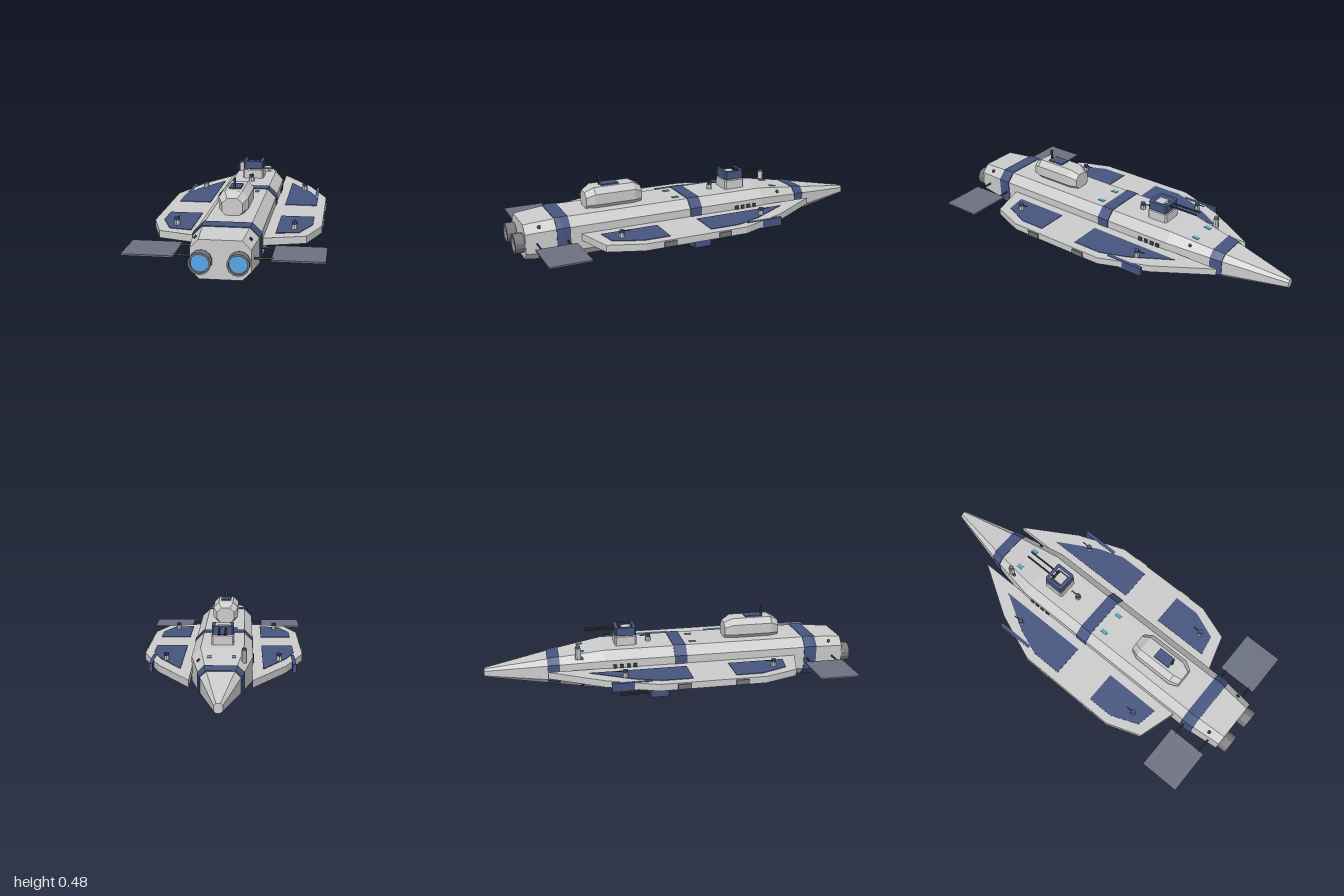
import * as THREE from 'three';

const mat = (color) => new THREE.MeshStandardMaterial({ color, flatShading: true });
const GREY = mat(0xcccccc), BLUE = mat(0x465580), DARK = mat(0x3a3c42), METAL = mat(0x77777a);
const SOLAR = mat(0x6c7180), GLOW = mat(0x55a5e6), GLASS = mat(0x5fa3bd);

export function createModel() {
  const root = new THREE.Group();

  function add(name, geo, material, x = 0, y = 0, z = 0, parent = root) {
    const m = new THREE.Mesh(geo, material);
    m.name = name;
    m.position.set(x, y, z);
    parent.add(m);
    return m;
  }
  const box = (name, w, h, d, material, x, y, z, parent) =>
    add(name, new THREE.BoxGeometry(w, h, d), material, x, y, z, parent);
  const cyl = (name, r, h, n, material, x, y, z, parent) =>
    add(name, new THREE.CylinderGeometry(r, r, h, n), material, x, y, z, parent);

  // Chamfered-box cross-sections [z, halfWidth, yBottom, yTop, chamfer], ordered by rising z
  function loft(sections) {
    const rings = sections.map(([z, w, a, b, c]) => [
      [w, a + c], [w, b - c], [w - c, b], [c - w, b], [-w, b - c], [-w, a + c], [c - w, a], [w - c, a],
    ].map(([x, y]) => [x, y, z]));
    const pos = [];
    const tri = (...p) => p.forEach((v) => pos.push(...v));
    for (let i = 0; i < rings.length - 1; i++) {
      for (let j = 0; j < 8; j++) {
        const k = (j + 1) % 8, lo = rings[i], hi = rings[i + 1];
        tri(lo[j], lo[k], hi[k]);
        tri(lo[j], hi[k], hi[j]);
      }
    }
    const first = rings[0], last = rings[rings.length - 1];
    for (let j = 1; j < 7; j++) {
      tri(first[0], first[j + 1], first[j]);
      tri(last[0], last[j], last[j + 1]);
    }
    const g = new THREE.BufferGeometry();
    g.setAttribute('position', new THREE.Float32BufferAttribute(pos, 3));
    g.computeVertexNormals();
    return g;
  }

  // Flat plate from an [x, z] outline, thickened upwards from y = 0
  function plate(points, depth, hole) {
    const v = (list) => list.map(([x, z]) => new THREE.Vector2(x, -z));
    const shape = new THREE.Shape(v(points));
    if (hole) shape.holes.push(new THREE.Path(v(hole)));
    return new THREE.ExtrudeGeometry(shape, { depth, bevelEnabled: false }).rotateX(-Math.PI / 2);
  }

  // Hull
  const stations = [
    [-1, 0.02, 0.18, 0.225, 0.01], [-0.63, 0.106, 0.139, 0.285, 0.032], [-0.37, 0.155, 0.108, 0.322, 0.045],
    [0.77, 0.155, 0.108, 0.322, 0.045], [0.95, 0.137, 0.125, 0.307, 0.04],
  ];
  add('hull', loft(stations), GREY);

  // Painted bands wrapped round the hull, slightly proud of it
  function hullAt(z) {
    const i = stations.findIndex((s, n) => n > 0 && z <= s[0]);
    const a = stations[i - 1], b = stations[i], t = (z - a[0]) / (b[0] - a[0]);
    return a.map((v, k) => v + (b[k] - v) * t);
  }
  const proud = ([z, w, a, b, c]) => [z, w + 0.004, a - 0.004, b + 0.004, c + 0.001];
  for (const zs of [[-0.67, -0.63, -0.607], [0, 0.067], [0.725, 0.77, 0.795]]) {
    add('hullBand', loft(zs.map((z) => proud(hullAt(z)))), BLUE);
  }

  // Bridge with roof plate and mast
  add('bridge', loft([
    [0.3, 0.05, 0.315, 0.405, 0.025], [0.345, 0.072, 0.315, 0.43, 0.03],
    [0.56, 0.072, 0.315, 0.43, 0.03], [0.605, 0.05, 0.315, 0.405, 0.025],
  ]), GREY);
  box('bridgeRoofPlate', 0.058, 0.008, 0.095, BLUE, 0, 0.433, 0.468);
  box('mast', 0.01, 0.055, 0.01, DARK, 0, 0.458, 0.517);

  // Twin-barrel main turrets, above and below
  const octagon = (r, c) => [[r, c], [c, r], [-c, r], [-r, c], [-r, -c], [-c, -r], [c, -r], [r, -c]];
  function mainTurret(name, y, z, flip) {
    const g = new THREE.Group();
    g.name = name;
    g.position.set(0, y, z);
    if (flip) g.rotation.z = Math.PI;
    root.add(g);
    add('turretBase', plate(octagon(0.058, 0.05), 0.05), GREY, 0, 0, 0, g);
    cyl('turretRing', 0.04, 0.012, 12, DARK, 0, 0.052, 0, g);
    const h = 0.038;
    add('turretHead', plate(octagon(0.056, 0.048), 0.044, [[h, h], [-h, h], [-h, -h], [h, -h]]), BLUE, 0, 0.056, 0, g);
    box('turretFloor', 0.076, 0.02, 0.076, DARK, 0, 0.067, 0, g);
    box('turretCore', 0.055, 0.036, 0.052, GREY, 0, 0.075, 0.008, g);
    for (const s of [-1, 1]) {
      cyl('turretBarrel', 0.005, 0.19, 8, DARK, s * 0.016, 0.088, -0.12, g).rotation.x = Math.PI / 2;
    }
  }
  mainTurret('topTurret', 0.32, -0.248, false);
  mainTurret('bottomTurret', 0.105, -0.06, true);

  // Small point-defence guns
  function smallGun(x, y, z, flip) {
    const g = new THREE.Group();
    g.name = 'smallGun';
    g.position.set(x, y, z);
    if (flip) g.rotation.z = Math.PI;
    root.add(g);
    cyl('gunBase', 0.015, 0.025, 8, GREY, 0, 0.0125, 0, g);
    cyl('gunHead', 0.013, 0.015, 8, BLUE, 0, 0.032, 0, g);
    cyl('gunBarrel', 0.003, 0.04, 6, DARK, 0, 0.033, -0.025, g).rotation.x = Math.PI / 2;
  }
  smallGun(0, 0.32, -0.12, false);
  smallGun(0, 0.11, 0.4, true);

  // Sensor post beside the nose
  cyl('sensorPost', 0.015, 0.06, 10, GREY, -0.11, 0.312, -0.51);
  cyl('sensorCap', 0.012, 0.012, 10, METAL, -0.11, 0.348, -0.51);

  const wing = [[0.15, -0.67], [0.32, -0.39], [0.42, -0.13], [0.42, 0.43], [0.355, 0.61], [0.15, 0.67]];
  const frontPanel = [[0.205, -0.46], [0.325, -0.25], [0.375, -0.11], [0.375, 0.053], [0.205, 0.053]];
  const rearPanel = [[0.205, 0.28], [0.375, 0.28], [0.375, 0.42], [0.315, 0.565], [0.205, 0.585]];

  for (const s of [-1, 1]) {
    const side = (pts) => pts.map(([x, z]) => [s * x, z]);

    // Side wings with painted panels and edge fittings
    add('wing', plate(side(wing), 0.036), GREY, 0, 0.199, 0);
    add('wingFrontPanel', plate(side(frontPanel), 0.004), BLUE, 0, 0.234, 0);
    add('wingRearPanel', plate(side(rearPanel), 0.004), BLUE, 0, 0.234, 0);
    box('wingCannon', 0.018, 0.045, 0.205, BLUE, s * 0.365, 0.2145, -0.262);
    for (const z of [-0.003, 0.3]) box('wingEdgeBlock', 0.016, 0.026, 0.068, METAL, s * 0.42, 0.216, z);
    for (const z of [-0.285, 0.505]) smallGun(s * 0.29, 0.236, z, false);

    // Solar panels on struts
    box('solarPanel', 0.24, 0.008, 0.212, SOLAR, s * 0.338, 0.212, 0.816);
    for (const z of [0.742, 0.893]) {
      cyl('solarStrut', 0.005, 0.1, 6, DARK, s * 0.18, 0.212, z).rotation.z = Math.PI / 2;
    }

    // Engines: hollow nozzle with glowing disc
    const nozzle = [[0.046, -0.01], [0.051, 0.01], [0.051, 0.05], [0.042, 0.05], [0.042, 0.035]];
    add('engineNozzle', new THREE.LatheGeometry(nozzle.map(([r, y]) => new THREE.Vector2(r, y)), 14)
      .rotateX(Math.PI / 2), METAL, s * 0.085, 0.212, 0.95);
    add('engineGlow', new THREE.CircleGeometry(0.043, 14), GLOW, s * 0.085, 0.212, 0.986);

    // Portholes on the hull flanks and skylights on the deck
    for (let i = 0; i < 4; i++) {
      for (const y of [0.181, 0.243]) box('porthole', 0.008, 0.024, 0.021, DARK, s * 0.156, y, -0.212 - i * 0.036);
    }
    box('skylight', 0.02, 0.006, 0.036, GLASS, s * 0.06, 0.322, 0.115);
    box('noseSkylight', 0.02, 0.006, 0.034, GLASS, s * 0.06, 0.305, -0.49).rotation.x = -0.14;

    // Manoeuvring thrusters on the chamfered edges
    for (const z of [-0.49, 0.875]) {
      const [, w, a, b, c] = hullAt(z);
      for (const up of [-1, 1]) {
        const y = up > 0 ? b - c / 2 : a + c / 2;
        cyl('thruster', 0.009, 0.014, 8, DARK, s * (w - c / 2), y, z).rotation.z = -s * up * Math.PI / 4;
      }
    }
  }
  return root;
}
